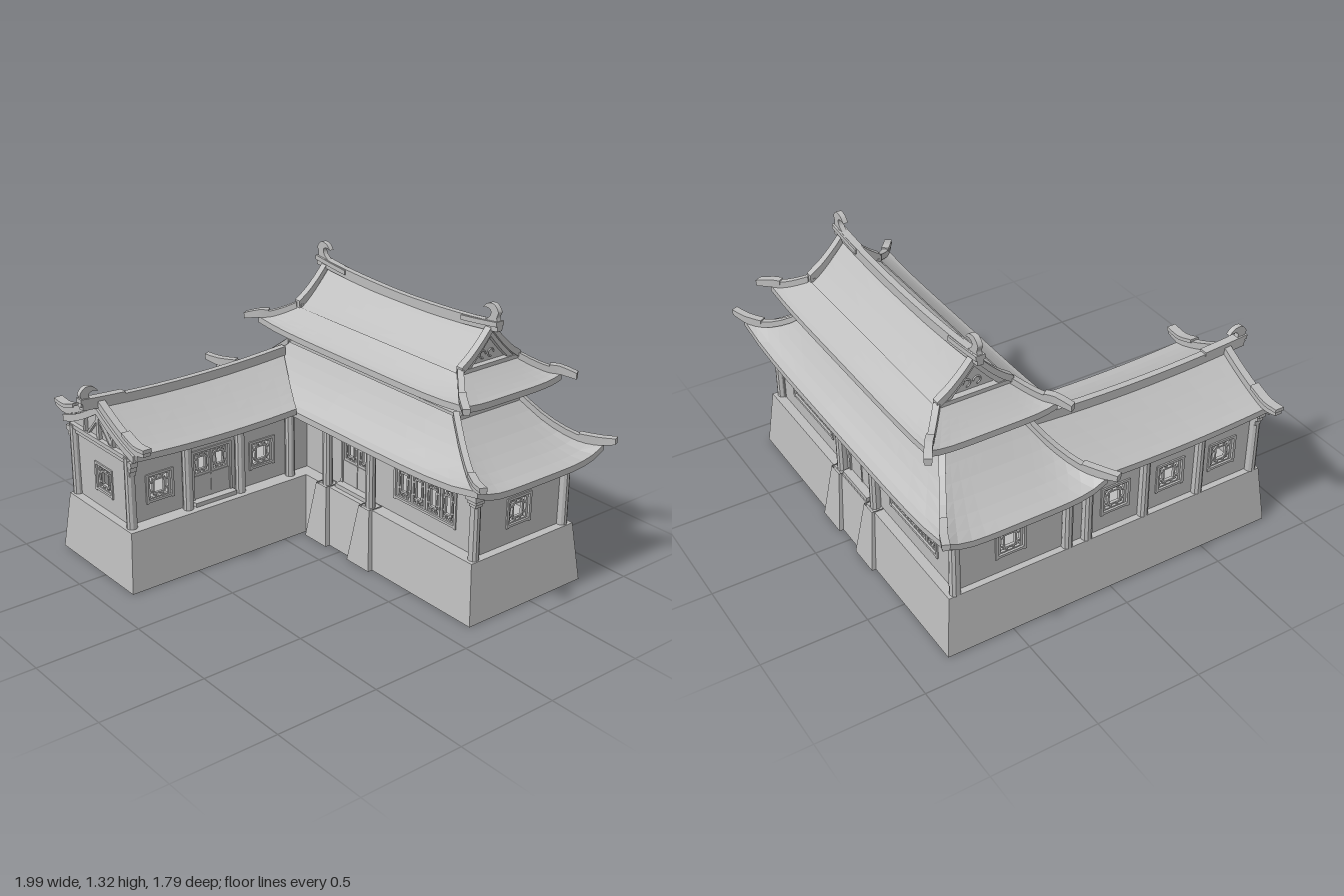
import * as THREE from 'three';
import { mergeGeometries } from 'three/addons/utils/BufferGeometryUtils.js';

const V = (x, y, z) => new THREE.Vector3(x, y, z);
const lerp = THREE.MathUtils.lerp;
const CZ = -0.496; // centre line of the main hall
const WX = -0.59; // centre line of the wing

export function createModel() {
  const model = new THREE.Group();
  const stone = new THREE.MeshStandardMaterial({ color: 0xbdbdbd, flatShading: true, side: THREE.DoubleSide });
  stone.name = 'plain grey';

  const add = (name, geo, parent = model) => {
    const m = new THREE.Mesh(geo, stone);
    m.name = name;
    parent.add(m);
    return m;
  };
  const boxGeo = (w, h, d, x, y, z) => new THREE.BoxGeometry(w, h, d).translate(x, y, z);
  const box = (name, ...a) => add(name, boxGeo(...a));

  // Stitches a list of loops (or open rows) of points
  const skin = (loops, closed = true, caps = true) => {
    const n = loops[0].length, pos = [], idx = [];
    loops.forEach(l => l.forEach(p => pos.push(p.x, p.y, p.z)));
    for (let i = 0; i < loops.length - 1; i++)
      for (let j = 0; j < (closed ? n : n - 1); j++) {
        const a = i * n + j, b = i * n + (j + 1) % n;
        idx.push(a, b, a + n, b, b + n, a + n);
      }
    if (closed && caps) for (let j = 1; j < n - 1; j++) {
      const e = (loops.length - 1) * n;
      idx.push(0, j + 1, j, e, e + j, e + j + 1);
    }
    const g = new THREE.BufferGeometry();
    g.setAttribute('position', new THREE.Float32BufferAttribute(pos, 3));
    g.setIndex(idx);
    g.computeVertexNormals();
    return g;
  };

  // Rectangular beam swept along a smooth curve
  const beam = (name, pts, w, h, n = 10) => {
    const c = new THREE.CatmullRomCurve3(pts), up = V(0, 1, 0), loops = [];
    for (let i = 0; i <= n; i++) {
      const p = c.getPoint(i / n);
      const s = c.getTangent(i / n).cross(up).normalize().multiplyScalar(w / 2);
      loops.push([[-1, -1], [1, -1], [1, 1], [-1, 1]].map(([a, b]) =>
        p.clone().addScaledVector(s, a).addScaledVector(up, b * h / 2)));
    }
    return add(name, skin(loops));
  };

  // Curved roof slab: f(u, v) gives the top surface, v = 1 is the eave
  const roof = (name, f, nu = 12, nv = 6, th = 0.03) => {
    const rows = [];
    for (let j = 0; j <= nv; j++) {
      const row = [];
      for (let i = 0; i <= nu; i++) row.push(f(i / nu, j / nv));
      rows.push(row);
    }
    const under = rows.map(r => r.map(p => V(p.x, p.y - th, p.z)));
    const rim = k => skin([rows.map(r => r[k]), under.map(r => r[k])], false);
    add(name, mergeGeometries([skin(rows, false), skin(under, false), skin([rows[nv], under[nv]], false), rim(0), rim(nu)]));
  };

  // Hollow stone base, L-shaped, with sloping sides
  const ring = (pts, y) => pts.map(([x, z]) => V(x, y, z));
  const ell = (x0, x1, x2, z0, z1, z2) => [[x0, z0], [x2, z0], [x2, z1], [x1, z1], [x1, z2], [x0, z2]];
  const topL = ell(-0.84, -0.30, 0.85, -0.79, -0.16, 0.83);
  add('baseWalls', skin([ring(ell(-0.875, -0.265, 0.885, -0.82, -0.13, 0.86), 0), ring(topL, 0.285)], true, false));
  const floor = new THREE.Shape(topL.map(([x, z]) => new THREE.Vector2(x, -z)));
  add('baseFloor', new THREE.ShapeGeometry(floor).rotateX(-Math.PI / 2).translate(0, 0.285, 0));
  for (const x of [-0.16, 0.155]) for (const [zi, zb, zt] of [[-0.22, -0.105, -0.14], [-0.73, -0.84, -0.803]]) {
    const sq = (w, z) => [[x - w, zi], [x + w, zi], [x + w, z], [x - w, z]];
    add('buttress', skin([ring(sq(0.078, zb), 0), ring(sq(0.037, zt), 0.29)], true, false));
  }

  // Lattice pane: frame, inner ring and short bars between
  const pane = (x, y, w, h) => {
    const t = 0.008, g = [];
    const frame = (a, b, k) => {
      for (const s of [-1, 1]) {
        g.push(boxGeo(a, k, 0.014, x, y + s * (b - k) / 2, 0));
        g.push(boxGeo(k, b, 0.014, x + s * (a - k) / 2, y, 0));
      }
    };
    frame(w, h, 0.012);
    const iw = w * 0.55, ih = h * 0.62;
    frame(iw, ih, t);
    for (const s of [-1, 1]) for (const q of [-1, 1]) {
      g.push(boxGeo(t, (h - ih) / 2, 0.012, x + q * iw * 0.25, y + s * (h + ih) / 4, 0));
      g.push(boxGeo((w - iw) / 2, t, 0.012, x + s * (w + iw) / 4, y + q * ih * 0.3, 0));
    }
    return g;
  };

  // Wall facing local +z; openings are [centre, y, width, height, panes, isDoor]
  const wall = (name, x, z, ry, len, openings) => {
    const g = new THREE.Group();
    g.name = name;
    g.position.set(x, 0, z);
    g.rotation.y = ry;
    model.add(g);
    const rect = (T, cx, cy, w, h) => new T([[-1, -1], [1, -1], [1, 1], [-1, 1]].map(([a, b]) =>
      new THREE.Vector2(cx + a * w / 2, cy + b * h / 2)));
    const s = rect(THREE.Shape, 0, 0.4625, len, 0.355);
    const bits = [];
    for (const [c, y, w, h, n, door] of openings) {
      s.holes.push(rect(THREE.Path, c, y, w, h));
      for (let i = 0; i < n; i++) bits.push(...pane(c + (i + 0.5 - n / 2) * w / n, y, w / n - 0.004, h));
      const y0 = door ? 0.295 : y - h / 2, y1 = y + h / 2;
      for (const q of [-1, 1]) {
        bits.push(boxGeo(0.013, y1 - y0 + 0.02, 0.034, c + q * (w / 2 + 0.006), (y0 + y1) / 2, 0));
        bits.push(boxGeo(w + 0.02, 0.012, 0.034, c, q < 0 ? y0 : y1 + 0.005, 0));
      }
      if (door) {
        bits.push(boxGeo(0.008, 0.13, 0.026, c, 0.355, 0));
        bits.push(boxGeo(w + 0.03, 0.03, 0.06, c, 0.29, 0.02));
      }
    }
    add('wallPanel', new THREE.ExtrudeGeometry(s, { depth: 0.02, bevelEnabled: false }).translate(0, 0, -0.01), g);
    add('topBeam', boxGeo(len, 0.028, 0.045, 0, 0.612, 0), g);
    if (bits.length) add('windowLattice', mergeGeometries(bits), g);
  };
  const square = c => [c, 0.435, 0.125, 0.125, 1];
  const door = c => [c, 0.48, 0.2, 0.12, 2, true];
  const quad = c => [c, 0.455, 0.385, 0.165, 4];
  const H = Math.PI / 2;
  wall('frontWall', 0.205, -0.235, 0, 1.21, [door(-0.2), quad(0.27)]);
  wall('backWall', 0, -0.735, Math.PI, 1.62, [door(0), quad(0.475), quad(-0.475)]);
  wall('hallLeftWall', 0.8, -0.475, H, 0.55, [square(0)]);
  wall('hallRightWall', -0.8, -0.475, -H, 0.55, [square(0)]);
  wall('wingFrontWall', -0.58, 0.78, 0, 0.46, [square(0)]);
  wall('wingInnerWall', -0.385, 0.28, H, 1.02, [square(-0.345), door(-0.06), square(0.23)]);
  wall('wingOuterWall', -0.8, 0.295, -H, 0.99, [square(-0.245), square(0.045), square(0.33)]);

  // Columns, with stepped brackets at the corners
  const column = (x, z) => add('column', new THREE.CylinderGeometry(0.023, 0.025, 0.35, 10).translate(x, 0.46, z));
  const bracket = (x, z, dx, dz) => {
    for (let i = 0; i < 3; i++) {
      const r = 0.01 + i * 0.012;
      box('eaveBracket', 0.03 + Math.abs(dx) * r, 0.025, 0.03 + Math.abs(dz) * r, x + dx * r, 0.56 + i * 0.025, z + dz * r);
    }
  };
  for (const x of [-0.82, 0.82]) for (const z of [-0.2, -0.75]) {
    column(x, z);
    bracket(x, z, Math.sign(x), z > -0.5 ? 1 : -1);
  }
  for (const x of [-0.16, 0.155]) for (const z of [-0.18, -0.765]) column(x, z);
  for (const x of [-0.82, -0.35]) {
    for (const z of [0.795, 0.49, 0.195, -0.1]) column(x, z);
    bracket(x, 0.79, x < -0.5 ? -0.6 : 0.6, 0.15);
  }

  // Hipped roof skirt on four sides, with a ridge along each hip
  const hipRoof = (name, cz, w, d, y0, y1, pow, lift, tip) => {
    const yAt = (c, t) => y1 + (y0 - y1) * Math.pow(1 - t, pow) + lift * t * t * Math.pow(Math.abs(c), 5);
    for (const s of [-1, 1]) {
      roof(name, (u, t) => V((2 * u - 1) * lerp(w[0], w[1], t), yAt(2 * u - 1, t), cz + s * lerp(d[0], d[1], t)));
      roof(name, (u, t) => V(s * lerp(w[0], w[1], t), yAt(2 * u - 1, t), cz + (2 * u - 1) * lerp(d[0], d[1], t)));
      for (const q of [-1, 1]) {
        const at = (t, up) => V(s * lerp(w[0], w[1], t), yAt(1, t) + up, cz + q * lerp(d[0], d[1], t));
        const end = V(s * tip[0], tip[1], cz + q * tip[2]);
        beam('hipRidge', [at(0, 0.01), at(0.35, 0.012), at(0.7, 0.012), at(0.95, 0.015), end], 0.028, 0.03);
        beam('hipRidgeEnd', [at(0.72, 0.025), at(0.95, 0.03), end.clone().setY(tip[1] + 0.005)], 0.034, 0.02, 4);
      }
    }
  };
  hipRoof('lowerRoof', -0.475, [0.59, 0.937], [0.19, 0.385], 0.855, 0.635, 1.6, 0.05, [0.99, 0.715, 0.405]);

  // Upper storey wall, ledge and posts
  box('upperWall', 1.13, 0.12, 0.32, 0, 0.9, CZ);
  box('roofLedge', 1.21, 0.025, 0.4, 0, 0.848, CZ);
  box('upperBeam', 1.18, 0.02, 0.36, 0, 0.928, CZ);
  for (const s of [-1, 1]) {
    for (const x of [-0.59, -0.245, 0, 0.245, 0.59]) box('upperPost', 0.025, 0.09, 0.025, x, 0.895, CZ + s * 0.17);
    for (const z of [-0.07, 0.07]) box('upperPost', 0.025, 0.09, 0.025, s * 0.58, 0.895, CZ + z);
  }

  // Upper hip-and-gable roof
  const sag = x => 0.03 * x * x;
  const upY = v => 1.03 + 0.16 * Math.pow(1 - v, 1.25);
  hipRoof('upperRoofSkirt', CZ, [0.57, 0.72], [0.175, 0.3], 1.035, 0.95, 1.3, 0.02, [0.78, 0.97, 0.335]);
  const gable = [[0, 1.2], [0.06, 1.132], [0.12, 1.076], [0.178, 1.035]];
  for (const s of [-1, 1]) {
    roof('upperRoof', (u, v) => V((2 * u - 1) * 0.57, upY(v) + sag((2 * u - 1) * 0.57) * (1 - v), CZ + s * 0.175 * v));
    // Gable end: panel, sloping ridges and scroll ornament
    const half = gable.map(([d, y]) => new THREE.Vector2(d, y));
    const other = gable.slice(1).reverse().map(([d, y]) => new THREE.Vector2(-d, y));
    add('gablePanel', new THREE.ShapeGeometry(new THREE.Shape([...half, ...other])).rotateY(H).translate(s * 0.545, 0, CZ));
    for (const q of [-1, 1]) {
      beam('gableRidge', gable.map(([d, y]) => V(s * 0.565, y + 0.015, CZ + q * d)), 0.035, 0.035);
      add('gableScroll', new THREE.TorusGeometry(0.017, 0.004, 4, 12, 4.8).rotateY(H).translate(s * 0.548, 1.085, CZ + q * 0.024));
    }
    box('gableSill', 0.03, 0.02, 0.34, s * 0.56, 1.04, CZ);
  }
  beam('mainRidge', [-0.62, -0.4, 0, 0.4, 0.62].map(x => V(x, 1.193 + 0.09 * x * x, CZ)), 0.03, 0.045, 16);

  // Curled ridge ornament, the curl pointing along local +x
  const curl = new THREE.Shape();
  curl.moveTo(-0.04, 0);
  curl.splineThru([[-0.03, 0.03], [-0.038, 0.06], [-0.01, 0.088], [0.03, 0.083], [0.055, 0.058]].map(p => new THREE.Vector2(...p)));
  curl.splineThru([[0.03, 0.064], [0.008, 0.055], [0.012, 0.03], [0.05, 0]].map(p => new THREE.Vector2(...p)));
  const finial = (x, y, z, ry) => add('ridgeFinial',
    new THREE.ExtrudeGeometry(curl, { depth: 0.024, bevelEnabled: false, curveSegments: 12 }).translate(0, 0, -0.012).rotateY(ry).translate(x, y, z));
  for (const s of [-1, 1]) {
    finial(s * 0.58, 1.235, CZ, s < 0 ? 0 : Math.PI);
    beam('mainRidgeEnd', [V(s * 0.4, 1.215, CZ), V(s * 0.5, 1.225, CZ), V(s * 0.62, 1.24, CZ)], 0.045, 0.022, 4);
  }

  // Wing roof, sagging along its length and running into the hall roof
  const wingY = (v, z) => 0.65 + 0.137 * Math.pow(1 - v, 1.35) + 0.075 * (z - 0.3) * (z - 0.3);
  for (const s of [-1, 1]) {
    const hw = s < 0 ? 0.3 : 0.32;
    roof('wingRoof', (u, v) => {
      const z = lerp(0.8, lerp(-0.25, -0.08, v), u);
      return V(WX + s * hw * v, wingY(v, z), z);
    });
    const verge = up => [0, 0.33, 0.66, 0.95].map(v => V(WX + s * 0.32 * v, wingY(v, 0.79) + up, 0.785));
    beam('vergeRidge', [...verge(0.015), V(WX + s * 0.38, 0.7, 0.785)], 0.035, 0.035);
    beam('vergeRidgeEnd', [...verge(0.035).slice(2), V(WX + s * 0.385, 0.71, 0.785)], 0.045, 0.018, 6);
    beam('bargeBoard', verge(-0.025).map(p => p.setZ(0.805)), 0.012, 0.035);
    box('gableStrut', 0.014, 0.08, 0.02, WX + s * 0.12, 0.67, 0.795);
    beam('gableBrace', [V(WX, 0.74, 0.795), V(WX + s * 0.1, 0.635, 0.795)], 0.015, 0.014, 1);
  }
  beam('wingRidge', [-0.25, 0, 0.3, 0.6, 0.88].map(z => V(WX, wingY(0, z) + 0.012, z)), 0.032, 0.045, 14);
  beam('wingRidgeEnd', [0.66, 0.78, 0.89].map(z => V(WX, wingY(0, z) + 0.035, z)), 0.04, 0.02, 4);
  finial(WX, 0.82, 0.85, H);

  // Wing gable panel with a timber post and tie beam
  const tri = new THREE.Shape([[-0.24, 0.62], [0.24, 0.62], [0.24, 0.66], [0.12, 0.71], [0, 0.785], [-0.12, 0.71], [-0.24, 0.66]].map(p => new THREE.Vector2(...p)));
  add('wingGablePanel', new THREE.ExtrudeGeometry(tri, { depth: 0.015, bevelEnabled: false }).translate(WX, 0, 0.773));
  box('gablePost', 0.02, 0.16, 0.02, WX, 0.7, 0.795);
  box('gableTie', 0.5, 0.02, 0.03, WX, 0.63, 0.795);
  return model;
}
